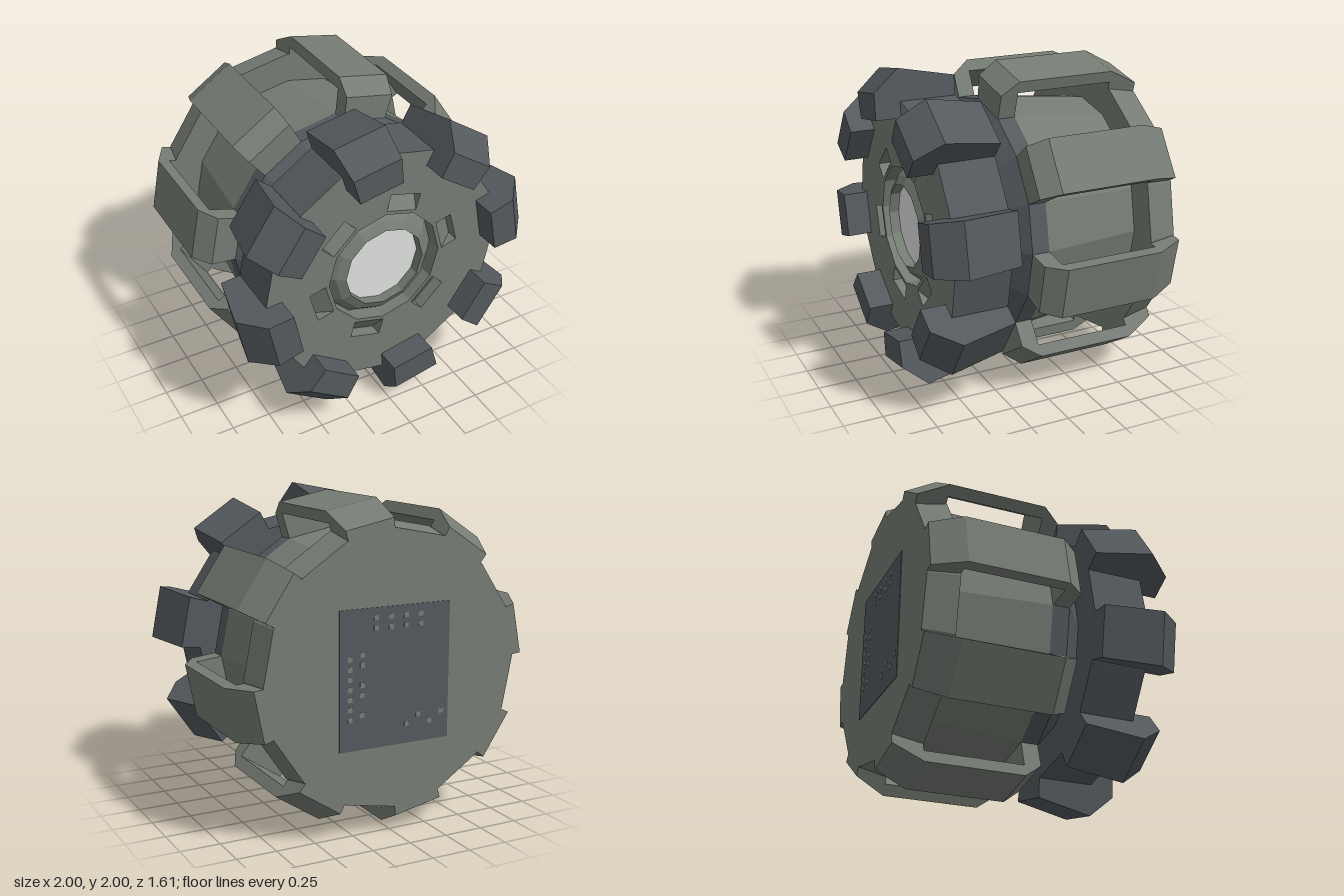
import * as THREE from 'three';

const mat = (name, color) => {
  const m = new THREE.MeshStandardMaterial({ color });
  m.name = name;
  return m;
};

// Faceted copy of a geometry
const flat = (g) => {
  const f = g.index ? g.toNonIndexed() : g;
  f.computeVertexNormals();
  return f;
};

// Faceted ring around the z axis from [radius, z] pairs (z rising = facing outward)
const ring = (pts, sides) =>
  flat(new THREE.LatheGeometry(pts.map(([r, z]) => new THREE.Vector2(r, z)), sides).rotateX(Math.PI / 2));

// Solid with a [radius, z] side profile that widens slightly with radius
function wedge(profile) {
  const shape = new THREE.Shape(profile.map(([r, z]) => new THREE.Vector2(r, z)));
  const g = new THREE.ExtrudeGeometry(shape, { depth: 2, bevelEnabled: false });
  const p = g.attributes.position;
  for (let i = 0; i < p.count; i++) {
    const r = p.getX(i), z = p.getY(i), side = p.getZ(i) - 1;
    p.setXYZ(i, r, -side * (0.08 + 0.09 * r), z);
  }
  return flat(g);
}

const polygon = (r, n) => Array.from({ length: n }, (_, i) => {
  const a = (i / n) * Math.PI * 2;
  return new THREE.Vector2(r * Math.cos(a), r * Math.sin(a));
});

export function createModel() {
  const green = mat('greyGreen', 0x757c74);
  const dark = mat('darkSlate', 0x53595d);
  const white = mat('paleGrey', 0xdee0de);
  const root = new THREE.Group();
  const body = new THREE.Group();
  body.name = 'body';
  body.position.y = 1;
  root.add(body);
  const add = (name, geo, material, angle = 0) => {
    const m = new THREE.Mesh(geo, material);
    m.name = name;
    m.rotation.z = angle;
    body.add(m);
    return m;
  };
  const step = Math.PI / 4, half = Math.PI / 16;
  const faceZ = 0.64;

  // Rear core with its rim, and the waist leading to the front drum
  add('rearCore', ring([[0, -0.8], [0.84, -0.8], [0.88, -0.61], [0.69, -0.61], [0.76, 0.02]], 16), green);
  add('waistAndDrum', ring([[0.76, 0.02], [0.76, 0.13], [0.58, 0.28], [0.8, 0.28], [0.8, faceZ]], 16), dark);

  // Eight front blocks and eight rear bridge plates, staggered
  const block = wedge([[0.685, 0.28], [0.91, 0.28], [0.985, 0.64], [0.85, 0.8], [0.685, 0.8]]);
  const bridge = wedge([
    [0.7, -0.8], [0.885, -0.8], [0.985, -0.61], [0.985, 0.02], [0.9, 0.13],
    [0.72, 0.13], [0.72, 0.02], [0.91, 0.02], [0.91, -0.61], [0.66, -0.61],
  ]);
  for (let i = 0; i < 8; i++) {
    add('frontBlock', block, dark, i * step + half);
    add('rearBridge', bridge, green, i * step - half);
  }

  // Front face with a round opening and six slots
  const face = new THREE.Shape(polygon(0.8, 16));
  face.holes.push(new THREE.Path(polygon(0.385, 12)));
  const r0 = 0.395, r1 = 0.505, h = 0.105, deep = faceZ - 0.08;
  const slot = new THREE.BufferGeometry();
  slot.setAttribute('position', new THREE.Float32BufferAttribute([
    r0, -h, faceZ, r0, h, faceZ, r1, -h, faceZ, r1, h, faceZ, r1, -h, deep, r1, h, deep,
  ], 3));
  slot.setIndex([0, 4, 5, 0, 5, 1, 4, 2, 3, 4, 3, 5, 0, 2, 4, 1, 5, 3]);
  const slotGeo = flat(slot);
  for (let i = 0; i < 6; i++) {
    const a = Math.PI / 12 + (i * Math.PI) / 3;
    const corners = [[r0, -h], [r1, -h], [r1, h], [r0, h]].map(([x, y]) =>
      new THREE.Vector2(x, y).rotateAround(new THREE.Vector2(), a));
    face.holes.push(new THREE.Path(corners));
    add('slopedSlot', slotGeo, green, a);
  }
  add('frontFace', new THREE.ShapeGeometry(face).translate(0, 0, faceZ), green);

  // Hub ring in its groove, with the pale disc sunk inside
  add('hubRing', ring([[0.385, 0.64], [0.385, 0.54], [0.325, 0.61], [0.268, 0.64], [0.268, 0.57]], 12), green);
  add('hubDisc', new THREE.CircleGeometry(0.27, 12).translate(0, 0, 0.575), white);

  // Rear panel with small dots
  add('rearPanel', new THREE.BoxGeometry(0.74, 0.84, 0.006), dark).position.set(0, -0.03, -0.801);
  const dot = new THREE.BoxGeometry(0.03, 0.03, 0.004);
  const addDot = (x, y) => add('panelDot', dot, green).position.set(x, y, -0.804);
  for (let i = 0; i < 4; i++) {
    addDot(0.13 - i * 0.1, 0.33);
    addDot(0.13 - i * 0.1, 0.27);
  }
  for (let i = 0; i < 7; i++) {
    addDot(0.3, 0.1 - i * 0.06);
    if (i % 3 !== 2) addDot(0.22, 0.12 - i * 0.06);
  }
  for (let i = 0; i < 4; i++) addDot(-0.08 - i * 0.08, -0.33 + (i % 2) * 0.05);
  return root;
}
